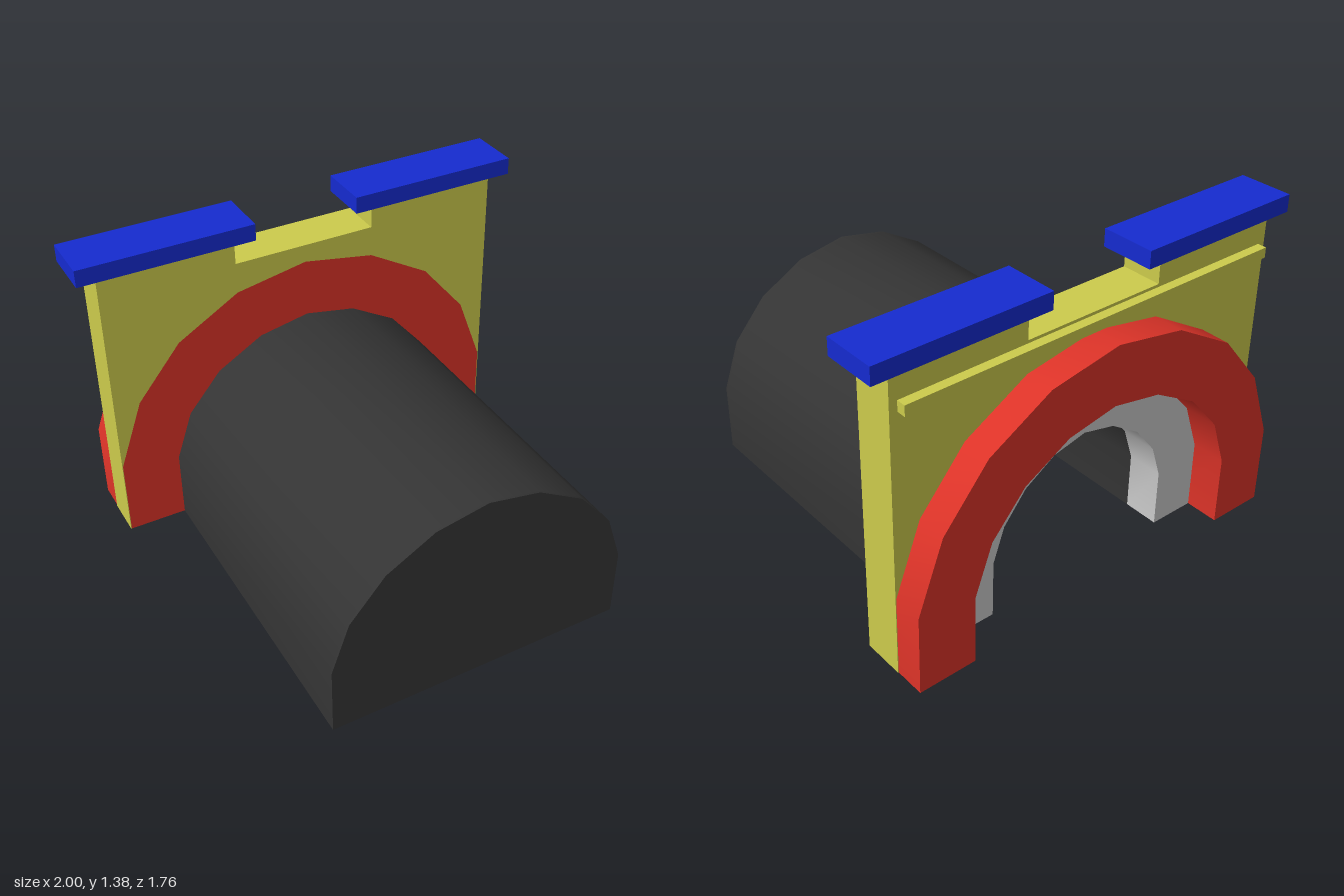
import * as THREE from 'three';
import { toCreasedNormals } from 'three/addons/utils/BufferGeometryUtils.js';

// Right half of each arch, from the foot up to the crown
const OUTER = [[0.911, 0], [0.911, 0.355], [0.80, 0.66], [0.60, 0.90], [0.32, 1.062], [0, 1.12]];
const MIDDLE = [[0.655, 0], [0.655, 0.31], [0.58, 0.525], [0.43, 0.70], [0.225, 0.817], [0, 0.86]];
const INNER = [[0.445, 0], [0.445, 0.255], [0.395, 0.405], [0.292, 0.535], [0.152, 0.625], [0, 0.66]];

// Mirror a half profile into a full arch running from +x to -x
const arch = (half) => [...half, ...half.slice(0, -1).reverse().map(([x, y]) => [-x, y])];
const shapeOf = (pts) => new THREE.Shape(pts.map(([x, y]) => new THREE.Vector2(x, y)));
const ring = (outer, inner) => shapeOf([...arch(outer), ...arch(inner).reverse()]);

export function createModel() {
  const group = new THREE.Group();
  const mat = (color) => new THREE.MeshStandardMaterial({ color });
  const dark = mat(0x343434), red = mat(0xdc3328), yellow = mat(0xcccb4c);
  const blue = mat(0x152bd0), grey = mat(0xcccccc);

  const add = (name, geometry, material) => {
    const mesh = new THREE.Mesh(geometry, material);
    mesh.name = name;
    group.add(mesh);
    return mesh;
  };
  // Extrude a shape between two depths, smooth around the arch and sharp at edges
  const slab = (name, shape, z0, z1, material) => {
    const g = new THREE.ExtrudeGeometry(shape, { depth: z1 - z0, bevelEnabled: false });
    g.translate(0, 0, z0);
    return add(name, toCreasedNormals(g, 0.6), material);
  };
  const box = (name, w, h, d, x, y, z, material) =>
    add(name, new THREE.BoxGeometry(w, h, d), material).position.set(x, y, z);

  // Hollow tunnel, open underneath and closed at the far end
  slab('tunnelShell', ring(MIDDLE, INNER), -0.57, 0.87, dark);
  slab('tunnelEndWall', shapeOf(arch(MIDDLE)), 0.87, 0.88, dark);

  // Portal: lining, arch surround and wall
  slab('portalLining', ring(MIDDLE, INNER), -0.73, -0.57, grey);
  slab('portalArch', ring(OUTER, MIDDLE), -0.88, -0.57, red);
  const wall = [
    [0.914, 0], [0.914, 1.3], [0.32, 1.3], [0.32, 1.2],
    [-0.32, 1.2], [-0.32, 1.3], [-0.914, 1.3], [-0.914, 0],
    ...arch(OUTER).reverse(),
  ];
  slab('portalWall', shapeOf(wall), -0.75, -0.57, yellow);
  box('wallMoulding', 1.76, 0.045, 0.04, 0, 1.165, -0.77, yellow);

  // Coping stones on both sides of the notch
  for (const side of [1, -1])
    box(side > 0 ? 'leftCoping' : 'rightCoping', 0.766, 0.075, 0.236, side * 0.617, 1.338, -0.66, blue);

  return group;
}
